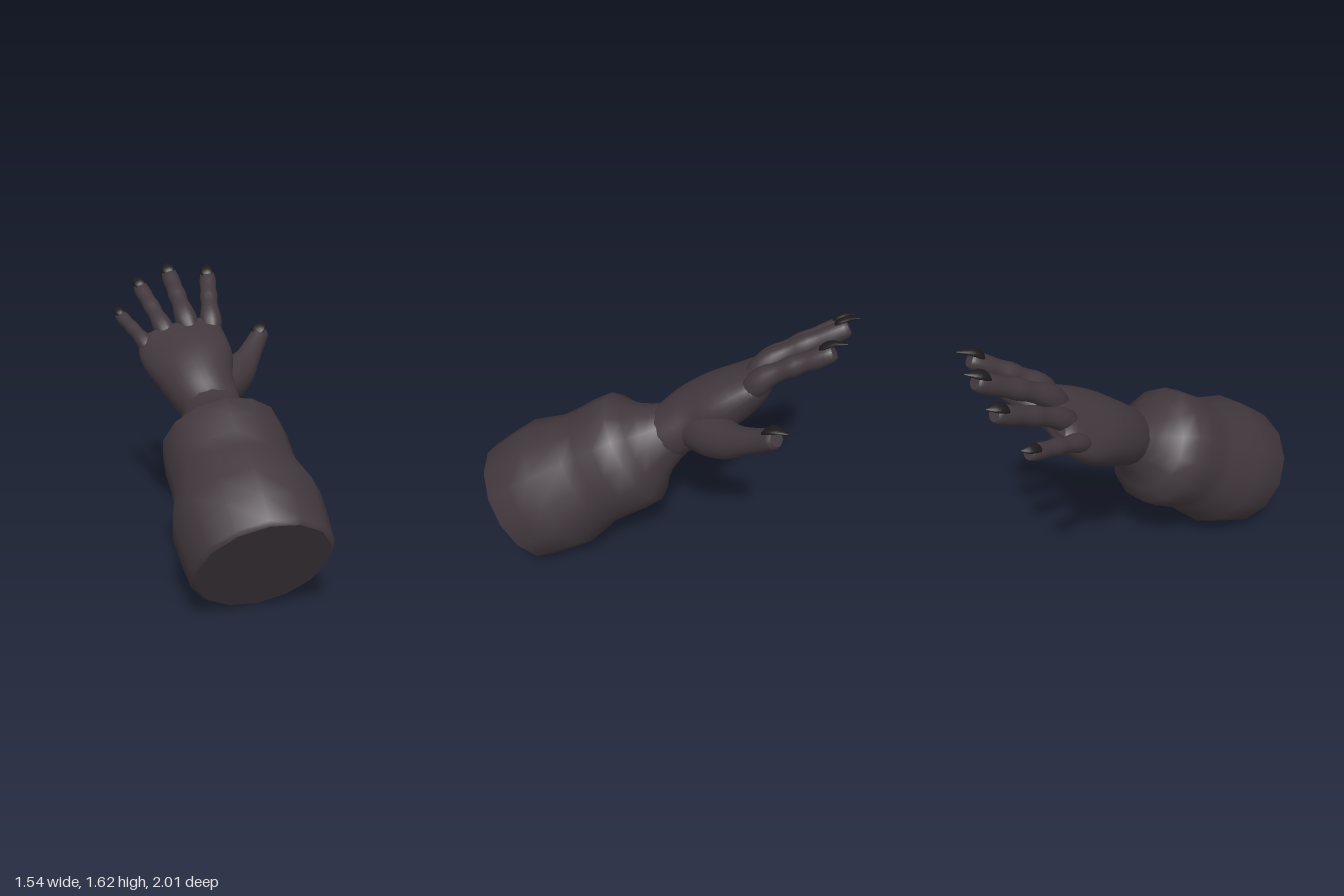
import * as THREE from 'three';

const v = (x, y, z) => new THREE.Vector3(x, y, z);

// Skin through elliptical cross-sections. Each ring is [x, y, z, halfWidth, halfThickness];
// side is the width direction, steps the number of spans along the (smoothed) path.
function loft(rings, side, segments, steps) {
  const centres = rings.map(r => v(r[0], r[1], r[2]));
  const radii = rings.map(r => v(r[3], r[4] ?? r[3], 0));
  let c = centres, s = radii;
  if (steps) {
    const path = new THREE.CatmullRomCurve3(centres), size = new THREE.CatmullRomCurve3(radii);
    c = []; s = [];
    for (let i = 0; i <= steps; i++) {
      c.push(path.getPoint(i / steps));
      s.push(size.getPoint(i / steps));
    }
  }
  const n = c.length, pos = [], index = [];
  const addRing = (i) => {
    const dir = c[Math.min(i + 1, n - 1)].clone().sub(c[Math.max(i - 1, 0)]).normalize();
    const u = side.clone().addScaledVector(dir, -side.dot(dir)).normalize();
    const w = dir.clone().cross(u);
    for (let j = 0; j < segments; j++) {
      const a = j / segments * Math.PI * 2;
      const p = c[i].clone().addScaledVector(u, Math.cos(a) * s[i].x).addScaledVector(w, Math.sin(a) * s[i].y);
      pos.push(p.x, p.y, p.z);
    }
  };
  for (let i = 0; i < n; i++) addRing(i);
  for (let i = 0; i < n - 1; i++) {
    for (let j = 0; j < segments; j++) {
      const k = (j + 1) % segments, a = i * segments, b = a + segments;
      index.push(a + j, a + k, b + j, a + k, b + k, b + j);
    }
  }
  // flat end caps on their own vertices
  for (const i of [0, n - 1]) {
    const start = pos.length / 3;
    addRing(i);
    const mid = pos.length / 3;
    pos.push(c[i].x, c[i].y, c[i].z);
    for (let j = 0; j < segments; j++) {
      const k = (j + 1) % segments;
      if (i === 0) index.push(mid, start + k, start + j);
      else index.push(mid, start + j, start + k);
    }
  }
  const g = new THREE.BufferGeometry();
  g.setAttribute('position', new THREE.Float32BufferAttribute(pos, 3));
  g.setIndex(index);
  g.computeVertexNormals();
  return g;
}

export function createModel() {
  const group = new THREE.Group();
  const skin = new THREE.MeshStandardMaterial({ color: 0x41383d });
  skin.name = 'dark skin';
  const horn = new THREE.MeshStandardMaterial({ color: 0x1e1b1d });
  horn.name = 'black claw';

  const add = (name, geometry, material, parent = group) => {
    const mesh = new THREE.Mesh(geometry, material);
    mesh.name = name;
    parent.add(mesh);
  };

  // Shared directions: arm axis, width of the hand, back of the hand
  const axis = v(0.42, 0.53, -0.74).normalize();
  const across = v(0.76, 0.31, 0.57).normalize();
  const back = v(-0.585, 0.705, 0.4).normalize();
  const base = v(-0.435, 0.325, 0.765);

  // Sleeve-like forearm: [distance along axis, radius]
  const profile = [[-0.005, 0.355], [0.015, 0.378], [0.16, 0.394], [0.31, 0.405], [0.51, 0.35],
    [0.61, 0.348], [0.72, 0.352], [0.84, 0.342], [0.9, 0.27], [0.97, 0.215], [1.04, 0.18], [1.12, 0.15]];
  add('forearm', loft(profile.map(([d, r]) => {
    const p = base.clone().addScaledVector(axis, d);
    return [p.x, p.y, p.z, r];
  }), across, 14), skin);

  // Palm, from wrist to knuckles
  add('palm', loft([
    [-0.01, 0.86, 0.03, 0.16, 0.155],
    [0.025, 0.91, -0.04, 0.175, 0.16],
    [0.06, 1.0, -0.16, 0.205, 0.168],
    [0.13, 1.1, -0.3, 0.255, 0.162],
    [0.185, 1.2, -0.45, 0.268, 0.12],
    [0.215, 1.27, -0.51, 0.225, 0.075],
    [0.225, 1.29, -0.53, 0.17, 0.035],
  ], across, 28, 20), skin);

  // Digits: rings along the path, with a curved claw over the blunt end
  const digit = (name, rings, clawTip, nailUp) => {
    const g = new THREE.Group();
    g.name = name;
    group.add(g);
    const last = rings[rings.length - 1], prev = rings[rings.length - 2];
    const end = v(last[0], last[1], last[2]);
    const dir = end.clone().sub(v(prev[0], prev[1], prev[2])).normalize();
    const side = dir.clone().cross(nailUp).normalize();
    const up = side.clone().cross(dir);
    const r = last[3];
    const tip = end.clone().addScaledVector(dir, r * 0.45);
    const all = [...rings, [tip.x, tip.y, tip.z, r * 0.75]];
    add(name + 'Flesh', loft(all, side, 14, 18), skin, g);
    const at = (d, h) => end.clone().addScaledVector(dir, d).addScaledVector(up, h).toArray();
    add(name + 'Claw', loft([
      [...at(-0.05, r * 0.75), r * 0.4, 0.006],
      [...at(-0.01, r * 0.95), r * 0.8, 0.015],
      [...at(0.03, r * 0.9), r * 0.72, 0.015],
      [...clawTip, 0.003, 0.003],
    ], side, 10, 9), horn, g);
  };

  // Fingers: knuckle, end of the flesh, claw tip, thickness
  const fingers = [
    ['indexFinger', v(0.36, 1.31, -0.36), v(0.595, 1.555, -0.62), [0.65, 1.62, -0.68], 0.052],
    ['middleFinger', v(0.25, 1.32, -0.46), v(0.445, 1.565, -0.82), [0.48, 1.63, -0.88], 0.053],
    ['ringFinger', v(0.145, 1.26, -0.54), v(0.29, 1.485, -0.93), [0.31, 1.54, -0.99], 0.049],
    ['littleFinger', v(0.04, 1.18, -0.59), v(0.125, 1.32, -0.94), [0.14, 1.365, -1.0], 0.041],
  ];
  for (const [name, from, to, claw, r] of fingers) {
    // [fraction of length, lift towards the back of the hand, thickness factor]
    const rings = [[-0.2, -0.02, 0.9], [0, 0.005, 1.3], [0.15, 0.02, 1.22], [0.36, 0.018, 0.98],
      [0.52, 0.016, 1.1], [0.68, 0.01, 0.97], [0.84, 0.004, 1.04], [1, 0, 0.95]].map(([t, lift, k]) => {
      const p = from.clone().lerp(to, t).addScaledVector(back, lift);
      return [p.x, p.y, p.z, r * k];
    });
    digit(name, rings, claw, back);
  }

  // Thumb with its fleshy mound
  digit('thumb', [
    [0.08, 0.95, -0.09, 0.11],
    [0.25, 0.99, -0.14, 0.13],
    [0.4, 1.035, -0.165, 0.108],
    [0.51, 1.095, -0.19, 0.077],
    [0.61, 1.155, -0.225, 0.064],
    [0.695, 1.212, -0.25, 0.056],
  ], [0.77, 1.28, -0.285], v(-0.4, 0.85, 0.2));

  return group;
}
